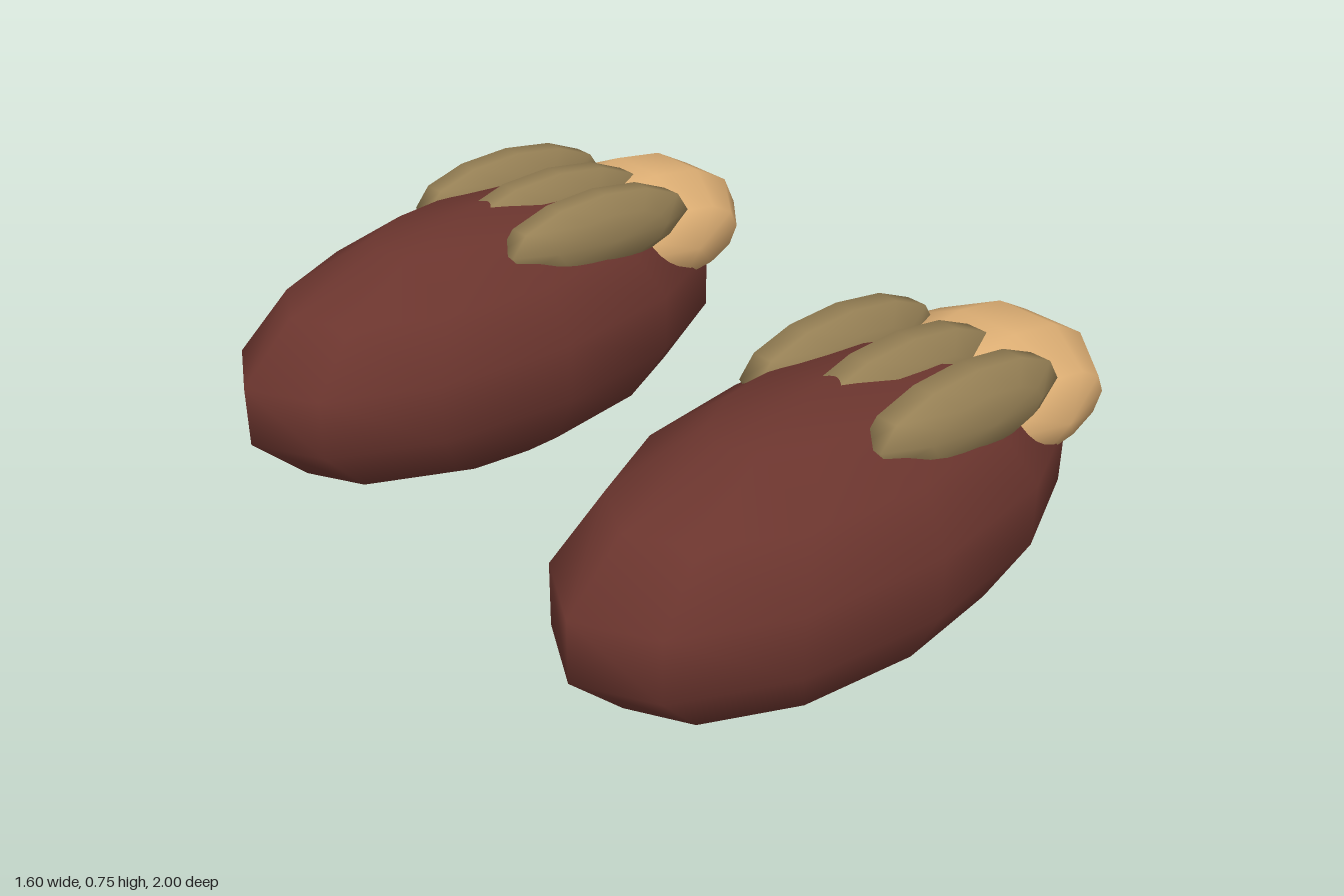
import * as THREE from 'three';

export function createModel() {
  const model = new THREE.Group();
  model.name = 'pairOfShoes';

  const mat = (name, color) => {
    const m = new THREE.MeshStandardMaterial({ color });
    m.name = name;
    return m;
  };
  const maroon = mat('maroon', 0x6b352e);
  const tan = mat('tan', 0xdfb075);
  const olive = mat('olive', 0x968055);

  // Body has its poles up and down; toe and straps have theirs pointing sideways
  const bodyGeo = new THREE.SphereGeometry(1, 12, 7);
  const sideGeo = new THREE.SphereGeometry(1, 12, 5).rotateX(Math.PI / 2);

  const ellipsoid = (name, geo, material, pos, radii, tilt = 0) => {
    const mesh = new THREE.Mesh(geo, material);
    mesh.name = name;
    mesh.position.set(...pos);
    mesh.scale.set(...radii);
    mesh.rotation.z = tilt;
    return mesh;
  };

  const createShoe = (name, z) => {
    const shoe = new THREE.Group();
    shoe.name = name;
    shoe.position.z = z;
    shoe.add(ellipsoid('shoeBody', bodyGeo, maroon, [-0.05, 0.367, 0], [0.77, 0.365, 0.374]));
    shoe.add(ellipsoid('toeCap', sideGeo, tan, [0.492, 0.525, 0], [0.323, 0.168, 0.27], -0.025));
    // Three straps side by side across the instep
    for (const i of [-1, 0, 1]) {
      shoe.add(ellipsoid('strap', sideGeo, olive, [0.19, 0.645, i * 0.188], [0.32, 0.116, 0.091], -0.065));
    }
    return shoe;
  };

  model.add(createShoe('frontShoe', 0.635), createShoe('backShoe', -0.635));
  return model;
}
